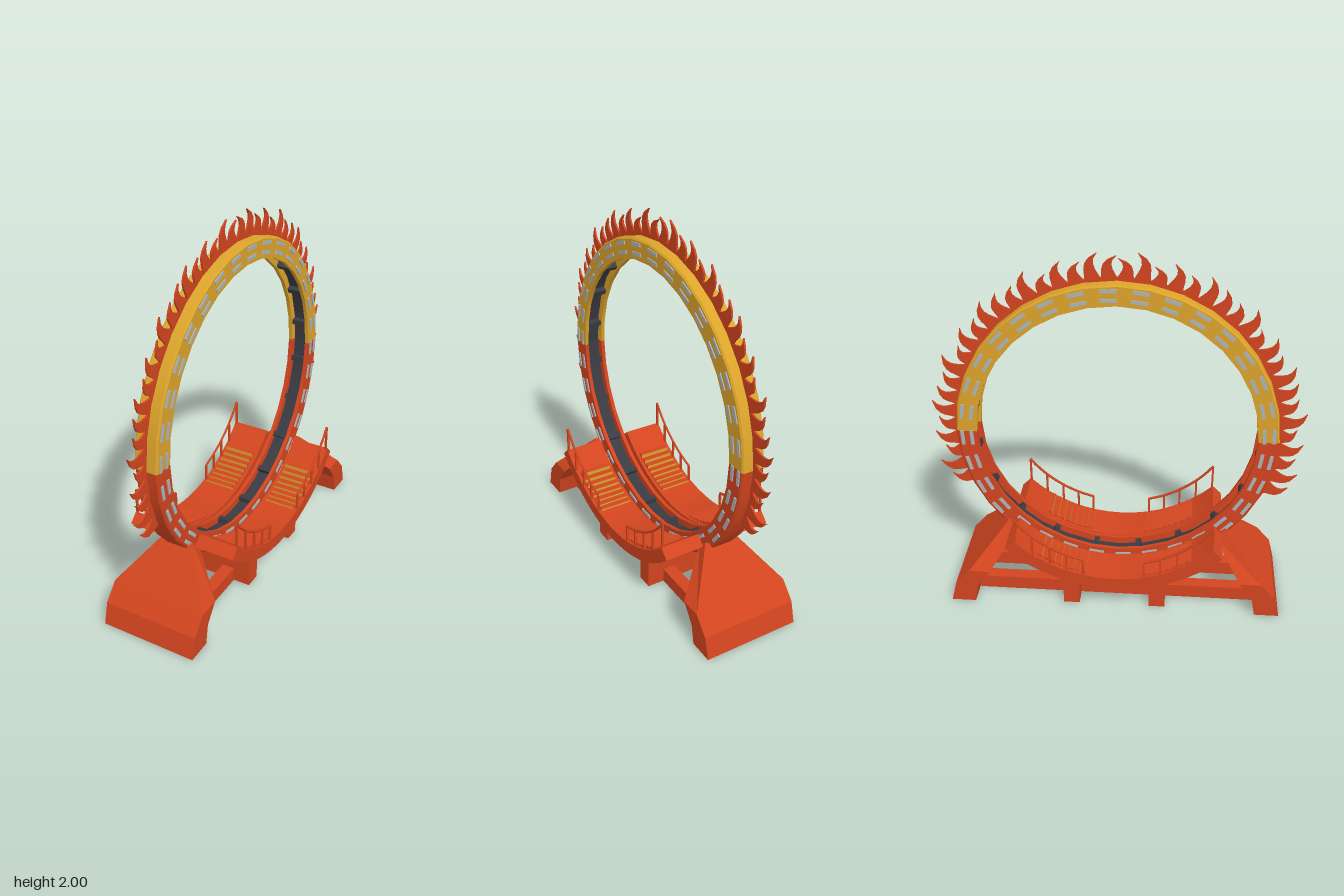
import * as THREE from 'three';
import { toCreasedNormals } from 'three/addons/utils/BufferGeometryUtils.js';

const mat = (name, color, side = THREE.FrontSide) => {
  const m = new THREE.MeshStandardMaterial({ color, side });
  m.name = name;
  return m;
};

export function createModel() {
  const red = mat('orange red', 0xd2451f);
  const yellow = mat('golden yellow', 0xdca42b);
  const dark = mat('dark grey', 0x3a3a42);
  const grey = mat('light grey', 0xadb5b9);

  const CY = 1; // height of the hoop centre
  const model = new THREE.Group();
  model.name = 'fireLoop';
  // Parts are built with the hoop in the XY plane, then turned to lie along z
  const body = new THREE.Group();
  body.name = 'body';
  body.rotation.y = Math.PI / 2;
  body.position.z = -0.01;
  model.add(body);

  const add = (parent, name, geo, material, x = 0, y = 0, z = 0) => {
    const m = new THREE.Mesh(geo, material);
    m.name = name;
    m.position.set(x, y, z);
    parent.add(m);
    return m;
  };
  const v2 = (a) => a.map(([r, w]) => new THREE.Vector2(r, w));
  const half = (profile, start) => {
    const g = new THREE.LatheGeometry(v2(profile), 16, start, Math.PI);
    g.rotateX(Math.PI / 2);
    return toCreasedNormals(g, 0.5);
  };

  // Hoop: upper and lower halves of a channel section, dark track inside
  const channel = [[0.745, -0.063], [0.847, -0.063], [0.856, -0.055], [0.856, 0.055], [0.847, 0.063],
    [0.745, 0.063], [0.745, 0.042], [0.79, 0.042], [0.79, -0.042], [0.745, -0.042], [0.745, -0.063]];
  const floor = [[0.785, 0.042], [0.785, -0.042]];
  add(body, 'upperHoop', half(channel, Math.PI / 2), yellow, 0, CY);
  add(body, 'lowerHoop', half(channel, -Math.PI / 2), red, 0, CY);
  add(body, 'upperTrack', half(floor, Math.PI / 2), dark, 0, CY);
  add(body, 'lowerTrack', half(floor, -Math.PI / 2), dark, 0, CY);

  // Dark clips along the track
  const clipGeo = new THREE.BoxGeometry(0.035, 0.03, 0.084);
  for (let i = 0; i < 20; i++) {
    const a = ((i + 0.5) / 20) * Math.PI * 2;
    add(body, 'trackClip', clipGeo, dark, 0.77 * Math.cos(a), CY + 0.77 * Math.sin(a)).rotation.z = a;
  }

  // Two rows of dashes on each face of the hoop
  const dashGeo = new THREE.BoxGeometry(0.019, 0.085, 0.009);
  for (let i = 0; i < 32; i++) {
    const a = THREE.MathUtils.degToRad(-2.8 + 11.25 * i);
    for (const r of [0.825, 0.775])
      for (const z of [-0.064, 0.064])
        add(body, 'dash', dashGeo, grey, r * Math.cos(a), CY + r * Math.sin(a), z).rotation.z = a;
  }

  // Flames: one thin plate of curled tongues that lean towards the top
  const count = 42;
  const from = THREE.MathUtils.degToRad(-24);
  const pitch = THREE.MathUtils.degToRad(228) / count;
  const polar = (a, r) => [r * Math.cos(a), r * Math.sin(a)];
  const heights = [0.1, 0.135, 0.08, 0.12, 0.095, 0.132, 0.115];
  const side = [-0.5, -0.3, -0.65, 0.45, -0.1, 0.3, 0.5];
  const rise = [0, 0.35, 0.75, 1, 0.65, 0.3, 0];
  const flame = new THREE.Shape();
  flame.moveTo(...polar(from, 0.84));
  flame.lineTo(...polar(from, 0.868));
  for (let i = 0; i < count; i++) {
    const c = from + (i + 0.5) * pitch;
    const h = heights[i % heights.length];
    const right = i < count / 2;
    const p = side.map((s, k) => polar(c + pitch * (right ? s : -side[6 - k]),
      0.868 + h * (right ? rise[k] : rise[6 - k])));
    flame.bezierCurveTo(...p[1], ...p[2], ...p[3]);
    flame.bezierCurveTo(...p[4], ...p[5], ...p[6]);
  }
  for (let i = count; i > 0; i--) flame.lineTo(...polar(from + i * pitch, 0.84));
  const flameGeo = new THREE.ExtrudeGeometry(flame, { depth: 0.01, bevelEnabled: false, curveSegments: 5 });
  add(body, 'flames', flameGeo, red, 0, CY, -0.005);

  // Curved decks beside the hoop
  const deck = new THREE.Shape();
  const arc = (r, t) => polar(-Math.PI / 2 + t * Math.PI / 4, r);
  const N = 8;
  deck.moveTo(...arc(0.83, -1));
  for (let i = -N + 1; i <= N; i++) deck.lineTo(...arc(0.83, i / N));
  for (let i = N; i >= -N; i--) deck.lineTo(...arc(0.76, i / N));
  const deckGeo = toCreasedNormals(
    new THREE.ExtrudeGeometry(deck, { depth: 0.22, bevelEnabled: false }), 0.4);
  for (const z of [-0.31, 0.09]) add(body, 'curvedDeck', deckGeo, red, 0, CY, z);

  // Foot from four level cross-sections: height and outer, height and inner, half width
  const rows = [
    [0.92, 0, 0.785, 0, 0.268],
    [0.89, 0.12, 0.765, 0.11, 0.268],
    [0.81, 0.21, 0.692, 0.21, 0.268],
    [0.605, 0.44, 0.55, 0.4, 0.09],
  ];
  const corners = rows.map(([ox, oy, ix, iy, w]) =>
    [[ox, oy, -w], [ox, oy, w], [ix, iy, w], [ix, iy, -w]]);
  const verts = [];
  const quad = (a, b, c, d) => verts.push(...a, ...b, ...c, ...a, ...c, ...d);
  for (let i = 0; i < 3; i++)
    for (let k = 0; k < 4; k++) {
      const n = (k + 1) % 4;
      quad(corners[i][k], corners[i + 1][k], corners[i + 1][n], corners[i][n]);
    }
  const [b, t] = [corners[0], corners[3]];
  quad(b[0], b[1], b[2], b[3]);
  quad(t[0], t[3], t[2], t[1]);
  const footGeo = new THREE.BufferGeometry();
  footGeo.setAttribute('position', new THREE.Float32BufferAttribute(verts, 3));
  footGeo.computeVertexNormals();

  const arcY = (r, x) => CY - Math.sqrt(r * r - x * x);
  const postGeo = new THREE.BoxGeometry(0.09, 0.215, 0.48);
  const stepGeo = new THREE.BoxGeometry(0.034, 0.04, 0.18);
  const stepMats = [red, yellow, red, red, red, red];
  const railPts = [];
  for (let i = 0; i <= 8; i++) {
    const a = THREE.MathUtils.degToRad(14.4 + (39.2 * i) / 8);
    railPts.push(new THREE.Vector3(0.665 * Math.sin(a), CY - 0.665 * Math.cos(a), 0));
  }
  const railGeo = new THREE.TubeGeometry(new THREE.CatmullRomCurve3(railPts), 16, 0.007, 6);

  // Each end: foot, pillar, steps and handrails
  for (const turn of [0, Math.PI]) {
    const end = new THREE.Group();
    end.name = turn ? 'frontEnd' : 'backEnd';
    end.rotation.y = turn;
    body.add(end);
    add(end, 'foot', footGeo, red);
    add(end, 'pillar', postGeo, red, 0.24, 0.1075);
    for (const s of [-1, 1]) {
      for (let i = 0; i < 8; i++) {
        const x = 0.15 + 0.034 * i;
        add(end, 'step', stepGeo, stepMats, x + 0.017, arcY(0.76, x + 0.034) - 0.017, s * 0.2);
      }
      add(end, 'handrail', railGeo, red, 0, 0, s * 0.302);
      for (const x of [0.166, 0.255, 0.345, 0.44, 0.533]) {
        const y0 = arcY(0.765, x);
        const y1 = arcY(0.665, x);
        add(end, 'railPost', new THREE.BoxGeometry(0.011, y1 - y0, 0.011), red, x, (y0 + y1) / 2, s * 0.302);
      }
    }
  }

  // Ground beams joining the feet
  for (const z of [-0.11, 0.11])
    add(body, 'groundBeam', new THREE.BoxGeometry(1.56, 0.08, 0.07), red, 0, 0.04, z);

  return model;
}
